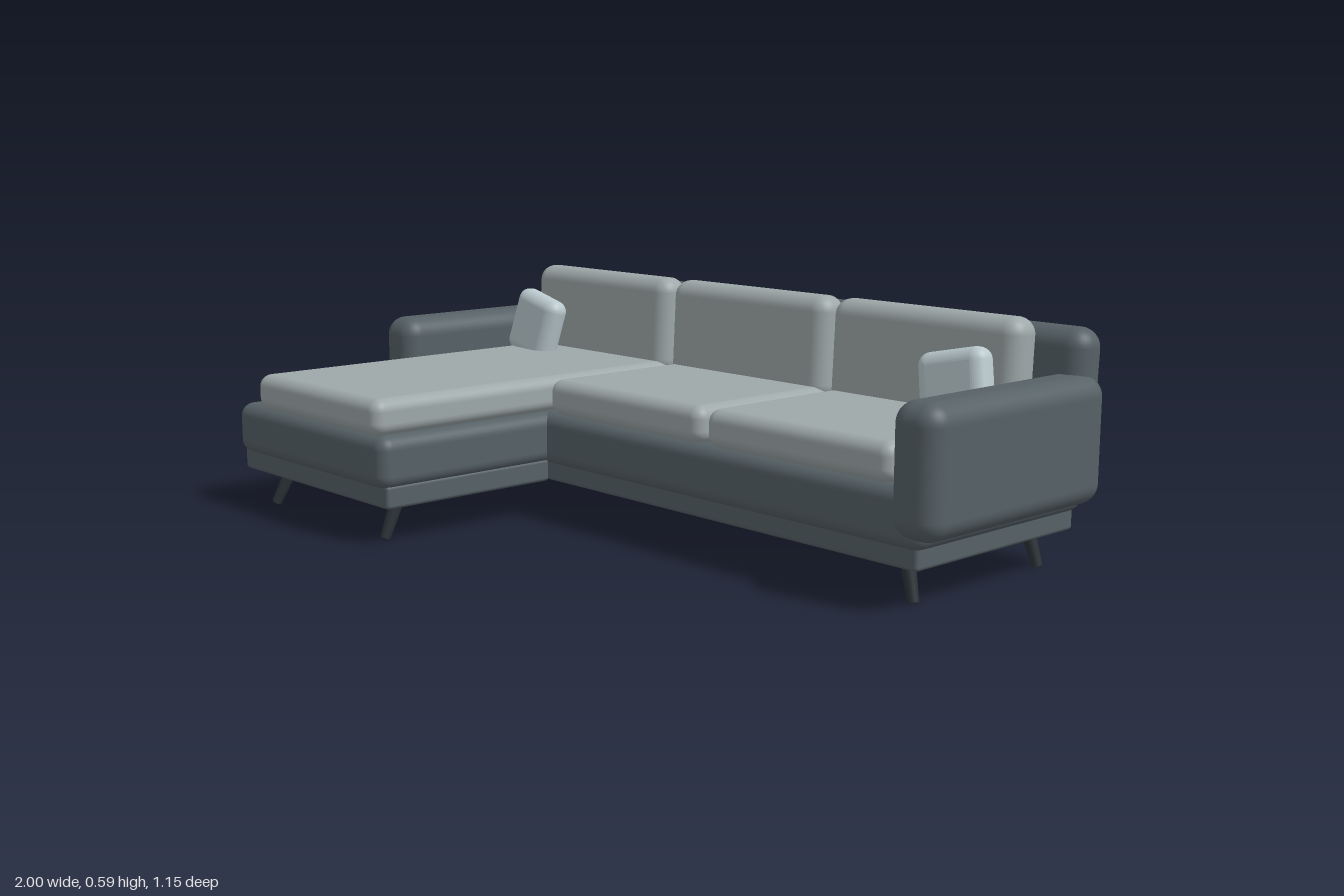
import * as THREE from 'three';
import { RoundedBoxGeometry } from 'three/addons/geometries/RoundedBoxGeometry.js';

const material = (color) => new THREE.MeshStandardMaterial({ color });

export function createModel() {
  const sofa = new THREE.Group();
  sofa.name = 'cornerSofa';
  const fabric = material(0x566166);
  const cushionFabric = material(0x9ea8a9);
  const pillowFabric = material(0xb9c8cd);
  const legPaint = material(0x2b3337);

  // Rounded block given by its extents on each axis
  function block(name, [x0, x1], [y0, y1], [z0, z1], radius, mat, tilt = 0) {
    const geometry = new RoundedBoxGeometry(x1 - x0, y1 - y0, z1 - z0, 5, radius);
    const mesh = new THREE.Mesh(geometry, mat);
    mesh.position.set((x0 + x1) / 2, (y0 + y1) / 2, (z0 + z1) / 2);
    mesh.rotation.x = tilt;
    mesh.name = name;
    sofa.add(mesh);
    return mesh;
  }

  // Plinths and upholstered bases
  block('mainPlinth', [-0.93, 0.93], [0.09, 0.15], [-0.525, 0.042], 0.01, fabric);
  block('chaisePlinth', [-0.97, -0.29], [0.09, 0.15], [0.046, 0.553], 0.01, fabric);
  block('mainBase', [-0.95, 0.95], [0.135, 0.272], [-0.545, 0.062], 0.035, fabric);
  block('chaiseBase', [-0.972, -0.28], [0.138, 0.272], [-0.02, 0.573], 0.035, fabric);

  // Backrest, leaning slightly backwards
  block('backrest', [-0.972, 0.972], [0.235, 0.566], [-0.567, -0.465], 0.048, fabric, -0.05);

  // Armrests
  for (const side of [-1, 1]) {
    const x = [0.87 * side, side].sort((a, b) => a - b);
    block('armrest', x, [0.16, 0.461], [-0.548, 0.084], 0.05, fabric);
  }

  // Seat and back cushions; the first seat runs out along the chaise
  [[-0.866, -0.303], [-0.284, 0.28], [0.296, 0.862]].forEach((x, i) => {
    block('seatCushion', x, [0.268, 0.361], [-0.47, i === 0 ? 0.573 : 0.056], 0.032, cushionFabric);
    block('backCushion', x, [0.32, 0.588], [-0.468, -0.37], 0.042, cushionFabric, -0.05);
  });

  // Scatter pillows, thinner towards the edges
  for (const side of [-1, 1]) {
    const geometry = new RoundedBoxGeometry(0.185, 0.185, 0.075, 6, 0.032);
    const p = geometry.attributes.position;
    for (let i = 0; i < p.count; i++) {
      const edge = Math.max(Math.abs(p.getX(i)), Math.abs(p.getY(i))) / 0.0925;
      p.setZ(i, p.getZ(i) * (1 - 0.12 * edge * edge));
    }
    geometry.computeVertexNormals();
    const pillow = new THREE.Mesh(geometry, pillowFabric);
    pillow.name = 'scatterPillow';
    pillow.position.set(0.76 * side, 0.425, -0.294);
    pillow.rotation.set(-0.16, 0.05 * side, 0.22 * side);
    sofa.add(pillow);
  }

  // Tapered, splayed legs: top x, top z, foot x, foot z
  const legs = [
    [-0.85, 0.482, -0.877, 0.517], [-0.351, 0.482, -0.358, 0.517],
    [-0.85, -0.024, -0.877, -0.016], [0.85, -0.024, 0.877, -0.016],
    [-0.85, -0.456, -0.877, -0.466], [0.85, -0.456, 0.877, -0.466],
  ];
  for (const [tx, tz, fx, fz] of legs) {
    const top = new THREE.Vector3(tx, 0.1, tz);
    const foot = new THREE.Vector3(fx, 0.004, fz);
    const axis = top.clone().sub(foot);
    const leg = new THREE.Mesh(new THREE.CylinderGeometry(0.018, 0.013, axis.length(), 20), legPaint);
    leg.name = 'leg';
    leg.position.copy(top).add(foot).multiplyScalar(0.5);
    leg.quaternion.setFromUnitVectors(new THREE.Vector3(0, 1, 0), axis.normalize());
    sofa.add(leg);
  }
  return sofa;
}
